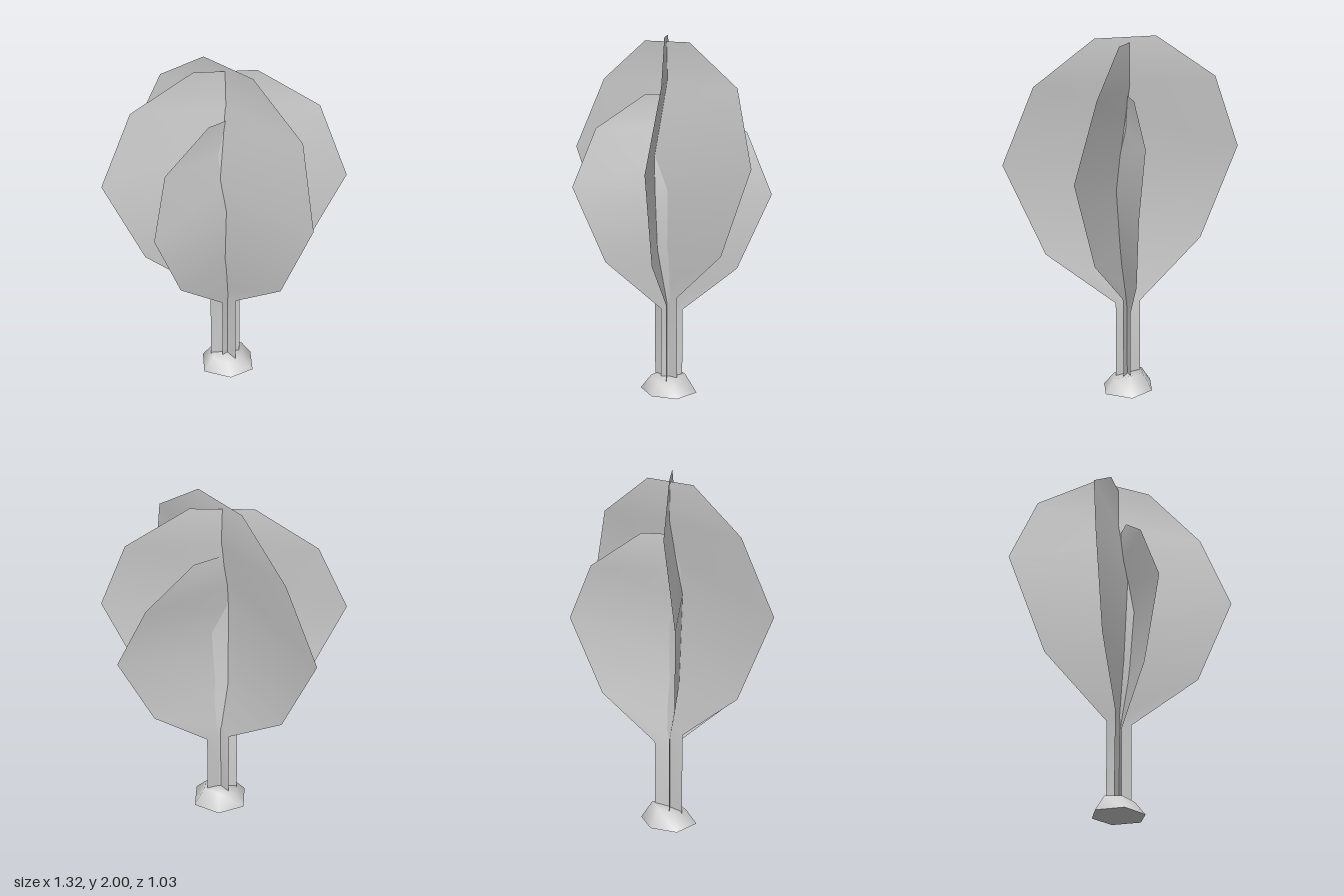
import * as THREE from 'three';

// Bent card: each row is [y, left x, left z, right x, right z], from bottom to top.
function makeCard(rows, material, name) {
  const positions = [], index = [];
  rows.forEach(([y, xa, za, xb, zb], i) => {
    positions.push(xa, y, za, xb, y, zb);
    if (i > 0) {
      const a = 2 * (i - 1);
      index.push(a, a + 1, a + 3, a, a + 3, a + 2);
    }
  });
  const geometry = new THREE.BufferGeometry();
  geometry.setAttribute('position', new THREE.Float32BufferAttribute(positions, 3));
  geometry.setIndex(index);
  geometry.computeVertexNormals();
  const mesh = new THREE.Mesh(geometry, material);
  mesh.name = name;
  return mesh;
}

// Uneven hexagonal mound: base ring, raised inner ring, cap and closed underside.
function makeMound(material) {
  const base = [[0.02, -0.195], [0.165, -0.13], [0.165, 0.03], [0.03, 0.095], [-0.125, 0.03], [-0.125, -0.13]];
  const heights = [0.1, 0.105, 0.075, 0.07, 0.08, 0.09];
  const cx = 0.015, cz = -0.045, n = base.length;
  const top = base.map(([x, z], i) => [cx + (x - cx) * 0.62, heights[i], cz + (z - cz) * 0.6]);
  const positions = [], index = [];
  base.forEach(([x, z]) => positions.push(x, 0, z));
  top.forEach((p) => positions.push(...p));
  positions.push(cx, 0.085, cz);
  // Separate bottom vertices keep the rim sharp
  base.forEach(([x, z]) => positions.push(x, 0, z));
  for (let i = 0; i < n; i++) {
    const j = (i + 1) % n;
    index.push(i, n + i, n + j, i, n + j, j);
    index.push(n + i, 2 * n, n + j);
    if (i > 0 && i < n - 1) index.push(2 * n + 1, 2 * n + 1 + i, 2 * n + 2 + i);
  }
  const geometry = new THREE.BufferGeometry();
  geometry.setAttribute('position', new THREE.Float32BufferAttribute(positions, 3));
  geometry.setIndex(index);
  geometry.computeVertexNormals();
  const mesh = new THREE.Mesh(geometry, material);
  mesh.name = 'groundMound';
  return mesh;
}

export function createModel() {
  const group = new THREE.Group();
  group.name = 'tree';
  const grey = new THREE.MeshStandardMaterial({ color: 0xcccccc, side: THREE.DoubleSide });
  grey.name = 'light grey';

  // Three crossing cards, each a narrow trunk opening into a broad crown
  group.add(makeCard([
    [0.07, -0.08, -0.043, 0.09, -0.048],
    [0.555, -0.08, -0.038, 0.09, -0.043],
    [0.85, -0.445, 0.005, 0.44, -0.022],
    [1.345, -0.66, 0.035, 0.66, -0.005],
    [1.745, -0.49, -0.035, 0.505, -0.065],
    [1.97, -0.16, -0.043, 0.17, -0.053],
  ], grey, 'wideCrownCard'));

  group.add(makeCard([
    [0.07, -0.035, -0.1, 0.062, 0.01],
    [0.515, -0.035, -0.1, 0.062, 0.01],
    [0.83, -0.33, -0.355, 0.28, 0.335],
    [1.345, -0.495, -0.515, 0.415, 0.515],
    [1.765, -0.325, -0.425, 0.365, 0.35],
    [2.0, -0.1, -0.16, 0.135, 0.1],
  ], grey, 'tallCrownCard'));

  group.add(makeCard([
    [0.07, -0.012, -0.02, 0.09, -0.09],
    [0.48, -0.012, -0.02, 0.09, -0.09],
    [0.74, -0.255, 0.178, 0.37, -0.23],
    [1.165, -0.39, 0.3, 0.545, -0.307],
    [1.49, -0.322, 0.18, 0.385, -0.282],
    [1.685, -0.085, 0.025, 0.145, -0.128],
  ], grey, 'shortCrownCard'));

  group.add(makeMound(grey));
  return group;
}
